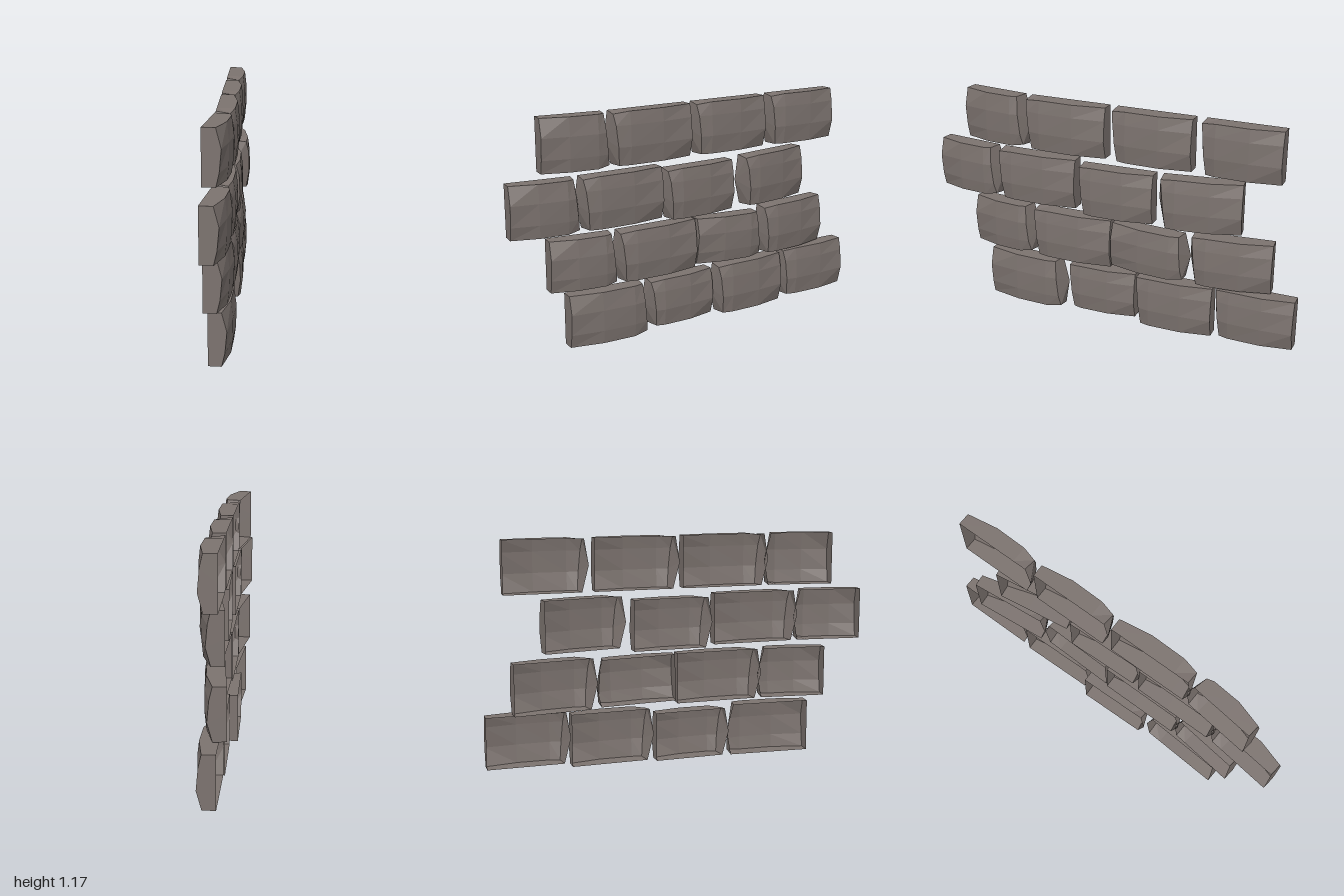
import * as THREE from 'three';

const stone = new THREE.MeshStandardMaterial({ color: 0x7c736f, flatShading: true, side: THREE.DoubleSide });
stone.name = 'greyBrownStone';

// Stations along the block: [z fraction, front x at top/bottom edge, front x at the middle]
const STATIONS = [
  [0.5, 0.028, 0.042],
  [0.28, 0.042, 0.054],
  [-0.12, 0.046, 0.055],
  [-0.5, 0.02, 0.045],
];
const BACK = -0.045;

// Hollow rough block: lofted front shell with end caps, open at the back (-x)
function blockGeometry(length, height) {
  const h = height / 2;
  const rings = STATIONS.map(([f, edge, mid], i) => {
    const z = f * length;
    const end = i === 0 ? 1 : 0; // the first end is slanted
    return [
      [BACK, -h, z - 0.035 * end],
      [edge, -h, z - 0.045 * end],
      [mid, -h * 0.3, z - 0.036 * end],
      [(mid + edge) / 2 + 0.003, h * 0.5, z - 0.026 * end],
      [edge - 0.005 * end, h - 0.01 * end, z - 0.018 * end],
      [BACK, h, z - 0.022 * end],
    ];
  });
  const pos = [];
  const tri = (a, b, c) => pos.push(...a, ...b, ...c);
  const n = rings[0].length;
  for (let i = 0; i < rings.length - 1; i++) {
    for (let j = 0; j < n - 1; j++) {
      const a = rings[i][j], b = rings[i][j + 1], c = rings[i + 1][j + 1], d = rings[i + 1][j];
      tri(a, d, c);
      tri(a, c, b);
    }
  }
  // End caps fan out from the middle of the back rim
  const first = rings[0], last = rings[rings.length - 1];
  const p = [BACK, 0, length / 2], q = [BACK, 0, -length / 2];
  for (let j = 0; j < n - 1; j++) {
    tri(p, first[j], first[j + 1]);
    tri(q, last[j + 1], last[j]);
  }
  const g = new THREE.BufferGeometry();
  g.setAttribute('position', new THREE.Float32BufferAttribute(pos, 3));
  g.computeVertexNormals();
  return g;
}

// Rows from the bottom: [z max, z min, y min, y max, x offset, yaw, flipped, roll]
const ROWS = [
  [
    [0.71, 0.265, 0, 0.27, -0.012, -0.06, true, 0],
    [0.26, -0.135, 0.012, 0.262, -0.032, 0.02, false, 0],
    [-0.14, -0.57, 0.01, 0.28, 0, 0.02, false, 0],
    [-0.575, -1.0, 0.03, 0.295, 0, 0, false, 0],
  ],
  [
    [0.8, 0.435, 0.3, 0.562, -0.02, -0.12, true, 0],
    [0.45, -0.01, 0.3, 0.562, 0, 0, false, 0],
    [-0.02, -0.435, 0.31, 0.552, 0.01, -0.03, true, -0.03],
    [-0.435, -0.865, 0.3, 0.562, -0.015, 0.1, false, 0],
  ],
  [
    [1.0, 0.635, 0.6, 0.865, -0.02, -0.12, true, 0],
    [0.65, 0.19, 0.6, 0.865, 0, 0, false, 0],
    [0.18, -0.24, 0.585, 0.848, 0.008, 0.03, false, 0],
    [-0.275, -0.705, 0.6, 0.865, 0.017, 0.15, false, 0],
  ],
  [
    [0.83, 0.465, 0.9, 1.167, -0.02, -0.12, true, 0],
    [0.48, 0.02, 0.9, 1.167, 0, 0, false, 0],
    [0, -0.44, 0.9, 1.167, 0, 0, false, 0],
    [-0.47, -0.895, 0.9, 1.167, 0, 0, false, 0],
  ],
];

export function createModel() {
  const wall = new THREE.Group();
  wall.name = 'stoneWall';
  ROWS.forEach((row, r) => {
    const course = new THREE.Group();
    course.name = `course${r + 1}`;
    row.forEach(([z1, z0, y0, y1, x, yaw, flipped, roll], i) => {
      const block = new THREE.Mesh(blockGeometry(z1 - z0, y1 - y0), stone);
      block.name = `block${i + 1}`;
      block.position.set(x, (y0 + y1) / 2, (z0 + z1) / 2);
      block.rotation.order = 'YXZ';
      block.rotation.set((flipped ? Math.PI : 0) + roll, yaw, 0);
      course.add(block);
    });
    wall.add(course);
  });
  return wall;
}
